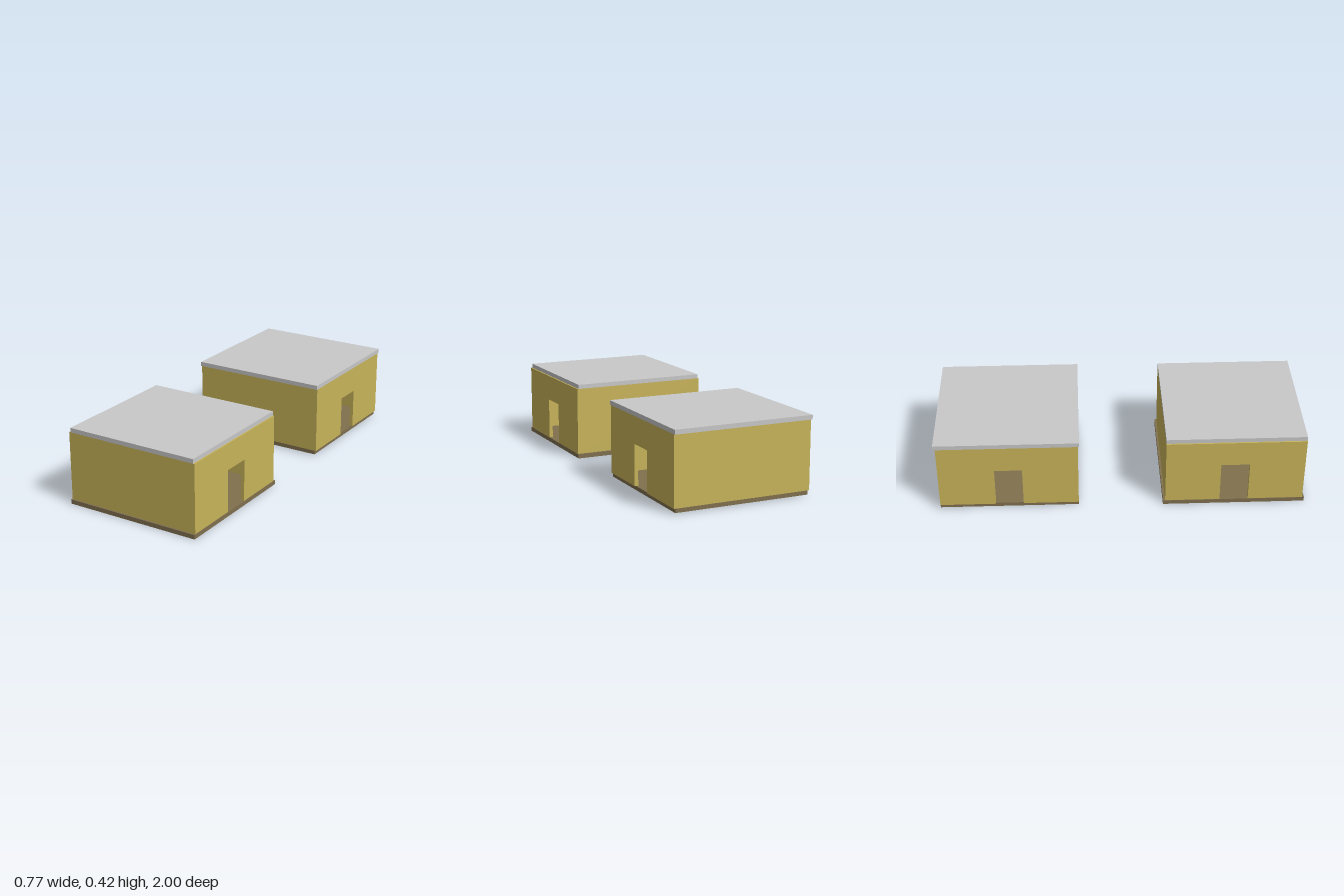
import * as THREE from 'three';

const material = (name, color) => {
  const m = new THREE.MeshStandardMaterial({ color });
  m.name = name;
  return m;
};

export function createModel() {
  const wallMat = material('ochre wall', 0xc8b45a);
  const roofMat = material('grey roof', 0xc8c8c8);
  const floorMat = material('brown floor', 0x80704e);

  const model = new THREE.Group();
  model.name = 'twoHuts';
  const T = 0.02; // wall thickness

  // Box given by its ranges on each axis
  function box(parent, name, mat, x, y, z) {
    const mesh = new THREE.Mesh(
      new THREE.BoxGeometry(x[1] - x[0], y[1] - y[0], z[1] - z[0]), mat);
    mesh.position.set((x[0] + x[1]) / 2, (y[0] + y[1]) / 2, (z[0] + z[1]) / 2);
    mesh.name = name;
    parent.add(mesh);
  }

  // Side wall with a doorway notched up from the floor
  function doorWall(parent, name, sign, p) {
    const [z0, z1] = p.wallZ, [d0, d1] = p.doorZ;
    const s = new THREE.Shape([
      [z0, p.floor[1]], [d0, p.floor[1]], [d0, p.doorTop], [d1, p.doorTop],
      [d1, p.floor[1]], [z1, p.floor[1]], [z1, p.roof[0]], [z0, p.roof[0]],
    ].map(([z, y]) => new THREE.Vector2(-z, y)));
    const geo = new THREE.ExtrudeGeometry(s, { depth: T, bevelEnabled: false });
    geo.rotateY(Math.PI / 2); // shape x becomes -z, depth becomes +x
    const mesh = new THREE.Mesh(geo, wallMat);
    mesh.position.x = sign > 0 ? p.wallX - T : -p.wallX;
    mesh.name = name;
    parent.add(mesh);
  }

  function hut(name, p) {
    const g = new THREE.Group();
    g.name = name;
    const [z0, z1] = p.wallZ;
    const y = [p.floor[1], p.roof[0]];
    const inner = [-p.wallX + T, p.wallX - T];
    box(g, 'floorSlab', floorMat, [-p.floorX, p.floorX], p.floor, p.floorZ);
    box(g, 'roofSlab', roofMat, [-p.roofX, p.roofX], p.roof, p.roofZ);
    box(g, 'frontWall', wallMat, inner, y, [z1 - T, z1]);
    box(g, 'backWall', wallMat, inner, y, [z0, z0 + T]);
    doorWall(g, 'leftDoorWall', 1, p);
    doorWall(g, 'rightDoorWall', -1, p);
    model.add(g);
  }

  // Front hut: wide floor slab, narrow roof
  hut('frontHut', {
    wallX: 0.385, wallZ: [0.237, 0.99], doorZ: [0.535, 0.69], doorTop: 0.256,
    floorX: 0.387, floorZ: [0.225, 1], floor: [0, 0.024],
    roofX: 0.377, roofZ: [0.237, 0.99], roof: [0.4, 0.424],
  });
  // Back hut: narrow floor slab, wide roof
  hut('backHut', {
    wallX: 0.385, wallZ: [-0.988, -0.235], doorZ: [-0.686, -0.535], doorTop: 0.252,
    floorX: 0.377, floorZ: [-0.988, -0.235], floor: [0.006, 0.028],
    roofX: 0.387, roofZ: [-1, -0.227], roof: [0.4, 0.424],
  });
  return model;
}
